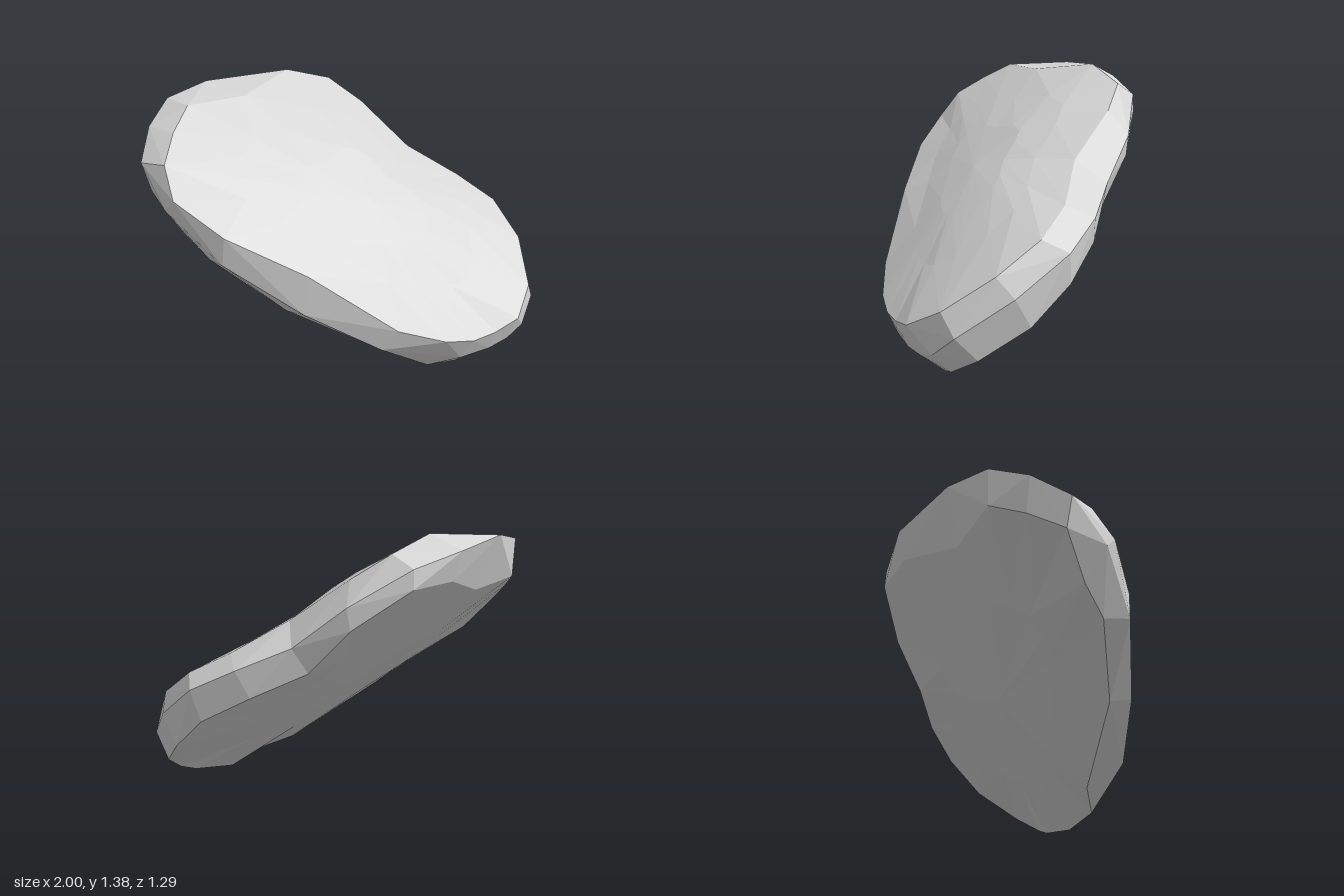
import * as THREE from 'three';

// Three loops around the pebble, each starting at the back and running by +x to the front
const upperRim = [
  -.19, 1.30, -.565, 0, 1.18, -.53, .28, .97, -.39, .57, .81, -.38, .78, .70, -.30,
  .92, .56, -.12, .97, .40, .12, .91, .30, .30, .79, .265, .39, .68, .26, .47,
  .54, .29, .54, .30, .38, .605, -.14, .68, .63, -.53, .87, .645, -.78, 1.02, .58,
  -.84, 1.16, .48, -.84, 1.26, .31, -.81, 1.345, .14, -.57, 1.34, -.06, -.40, 1.385, -.41,
];
const widestEdge = [
  -.28, 1.235, -.645, .03, 1.06, -.64, .28, .86, -.555, .55, .75, -.52, .77, .64, -.43,
  .93, .465, -.21, 1, .29, .05, .95, .18, .17, .87, .14, .25, .77, .13, .34,
  .62, .13, .44, .22, .26, .60, -.16, .47, .645, -.55, .72, .64, -.84, .95, .54,
  -.99, 1.13, .39, -1, 1.25, .20, -.96, 1.335, 0, -.81, 1.365, -.22, -.54, 1.31, -.52,
];
const lowerRim = [
  -.28, 1.14, -.65, .01, .95, -.63, .20, .73, -.53, .48, .61, -.51, .72, .48, -.43,
  .86, .31, -.27, .93, .16, -.04, .88, .07, .10, .80, .035, .15, .60, 0, .29,
  .45, .055, .42, .24, .135, .40, -.27, .415, .53, -.65, .675, .51, -.80, .78, .43,
  -.965, .97, .36, -.97, 1.06, .18, -.95, 1.13, 0, -.70, 1.08, -.18, -.50, 1.16, -.49,
];

// Direction in which the tilted upper face looks
const axis = new THREE.Vector3(.44, .745, .5).normalize();

function toLoop(numbers) {
  const loop = [];
  for (let i = 0; i < numbers.length; i += 3) loop.push(new THREE.Vector3().fromArray(numbers, i));
  return loop;
}

// Shrinks a loop towards its middle and eases it to a given height along the axis
function capLoop(loop, shrink, height, ease) {
  const middle = loop.reduce((sum, p) => sum.add(p), new THREE.Vector3()).divideScalar(loop.length);
  return loop.map(p => {
    const q = p.clone().lerp(middle, shrink);
    return q.addScaledVector(axis, (height - q.dot(axis)) * ease);
  });
}

// Joins neighbouring loops with separate flat facets, splitting each quad so that it bulges outwards
function skin(loops) {
  const positions = [];
  const normalOf = (a, b, c) => b.clone().sub(a).cross(c.clone().sub(a));
  const add = (a, b, c) => {
    if (normalOf(a, b, c).length() > 1e-7) for (const p of [a, b, c]) positions.push(p.x, p.y, p.z);
  };
  for (let k = 0; k < loops.length - 1; k++) {
    const a = loops[k], b = loops[k + 1];
    for (let i = 0; i < a.length; i++) {
      const j = (i + 1) % a.length;
      if (b[i].clone().sub(a[i]).dot(normalOf(a[i], a[j], b[j])) > 0) {
        add(a[i], a[j], b[i]);
        add(a[j], b[j], b[i]);
      } else {
        add(a[i], a[j], b[j]);
        add(a[i], b[j], b[i]);
      }
    }
  }
  const geometry = new THREE.BufferGeometry();
  geometry.setAttribute('position', new THREE.Float32BufferAttribute(positions, 3));
  geometry.computeVertexNormals();
  return geometry;
}

export function createModel() {
  const stone = new THREE.MeshStandardMaterial({ color: 0xd6d6d6, flatShading: true });
  stone.name = 'pale grey stone';

  const top = toLoop(upperRim), edge = toLoop(widestEdge), bottom = toLoop(lowerRim);
  const pebble = new THREE.Mesh(skin([
    // broad, slightly domed upper face
    capLoop(top, 1, .79, 1), capLoop(top, .65, .785, .9), capLoop(top, .35, .78, .55), top,
    // bevelled side
    edge, bottom,
    // nearly flat underside
    capLoop(bottom, .45, .375, .75), capLoop(bottom, 1, .365, 1),
  ]), stone);
  pebble.name = 'pebble';

  const group = new THREE.Group();
  group.name = 'tiltedStone';
  group.add(pebble);
  return group;
}
